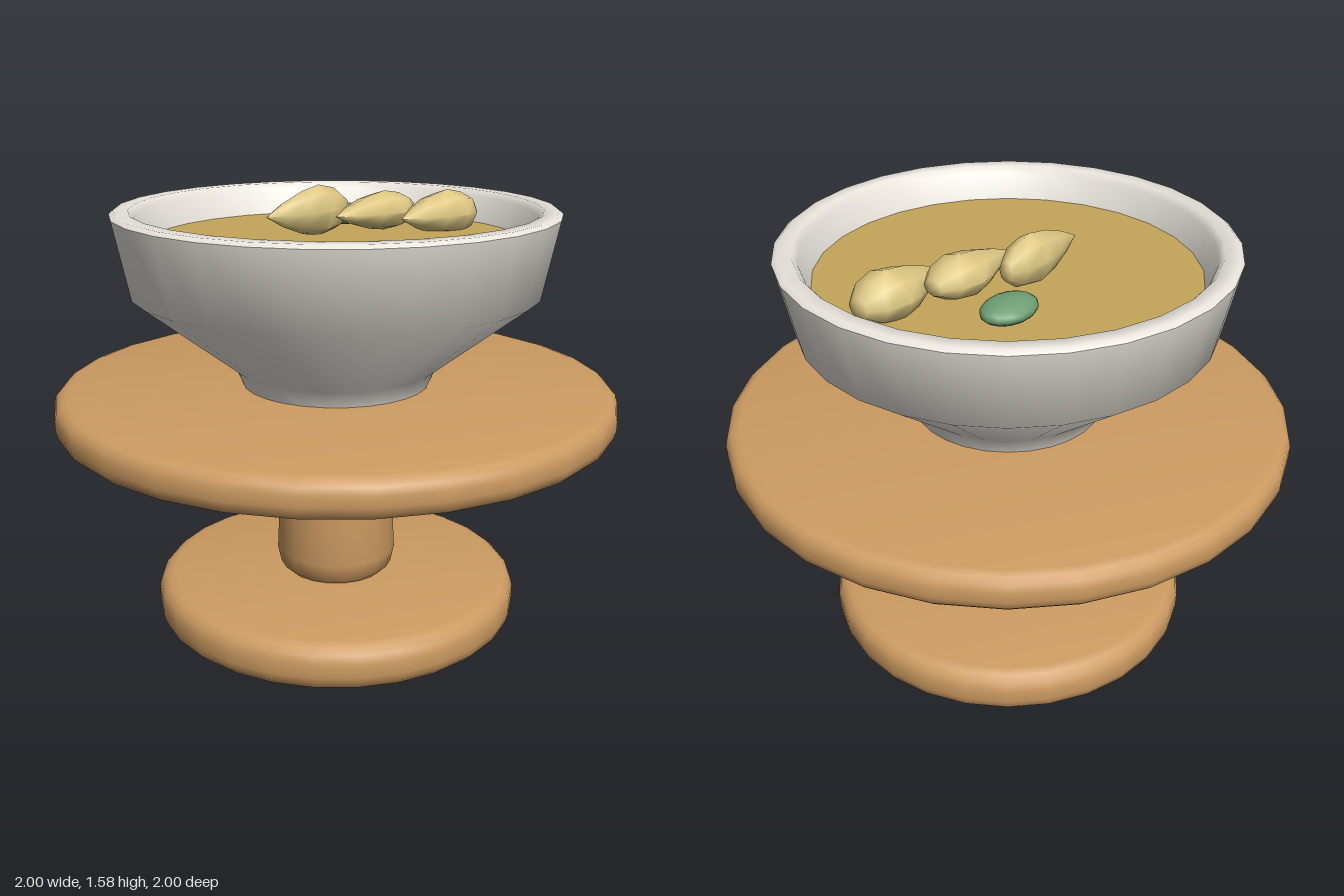
import * as THREE from 'three';
import { toCreasedNormals } from 'three/addons/utils/BufferGeometryUtils.js';

const material = (color) => new THREE.MeshStandardMaterial({ color });
const wood = material(0xcd9b62);
const ceramic = material(0xe8e4dc);
const broth = material(0xc4a558);
const cream = material(0xdec884);
const green = material(0x6f9f74);

// Revolve a profile of [radius, height] pairs, listed from bottom to top on the outside
function turned(profile, sides, crease = 0.8) {
  const points = profile.map(([r, y]) => new THREE.Vector2(r, y));
  return toCreasedNormals(new THREE.LatheGeometry(points, sides), crease);
}

// Round disc with a softened rim
function disc(radius, bottom, top, bevel) {
  const profile = [[0, bottom]];
  const corner = (cy, from) => {
    for (let i = 0; i <= 3; i++) {
      const a = from + (i / 3) * Math.PI / 2;
      profile.push([radius - bevel + bevel * Math.cos(a), cy + bevel * Math.sin(a)]);
    }
  };
  corner(bottom + bevel, -Math.PI / 2);
  corner(top - bevel, 0);
  profile.push([0, top]);
  return turned(profile, 28);
}

export function createModel() {
  const model = new THREE.Group();
  const add = (name, geometry, mat) => {
    const mesh = new THREE.Mesh(geometry, mat);
    mesh.name = name;
    model.add(mesh);
    return mesh;
  };

  // Pedestal table
  add('tableBase', disc(0.665, 0, 0.167, 0.06), wood);
  add('tableColumn', turned([
    [0, 0.165], [0.18, 0.165], [0.207, 0.19], [0.22, 0.25], [0.2, 0.66],
    [0.188, 0.72], [0.16, 0.757], [0, 0.757],
  ], 20), wood);
  add('tableTop', disc(1, 0.755, 0.89, 0.05), wood);

  // Bowl: foot, flared wall, rounded rim and inside
  add('bowl', turned([
    [0, 0.89], [0.335, 0.89], [0.36, 0.95], [0.72, 1.23], [0.775, 1.5],
    [0.76, 1.512], [0.71, 1.512], [0.692, 1.49], [0.65, 1.38], [0.6, 1.23], [0, 1.1],
  ], 28, 0.9), ceramic);

  // Broth surface
  const surface = new THREE.CircleGeometry(0.657, 28);
  surface.rotateX(-Math.PI / 2);
  add('broth', surface, broth).position.y = 1.4;

  // Teardrop pieces: pointed towards -x, blunt towards +x
  const drop = turned([
    [0, -1], [0.45, -0.6], [0.83, -0.12], [1, 0.3], [0.82, 0.7], [0.4, 0.97], [0, 1],
  ], 8, 1);
  drop.rotateZ(-Math.PI / 2);
  const pieces = [
    { at: [-0.03, 1.485, -0.115], size: [0.19, 0.09, 0.066] },
    { at: [0.19, 1.475, -0.002], size: [0.19, 0.07, 0.096] },
    { at: [0.41, 1.455, 0.107], size: [0.19, 0.085, 0.102] },
  ];
  pieces.forEach(({ at, size }, i) => {
    const piece = add('fillingPiece' + (i + 1), drop, cream);
    piece.position.set(...at);
    piece.scale.set(...size);
  });

  // Leaf garnish
  const leaf = add('leafGarnish', new THREE.SphereGeometry(1, 14, 10), green);
  leaf.position.set(0.275, 1.437, -0.225);
  leaf.scale.set(0.11, 0.038, 0.08);

  return model;
}
